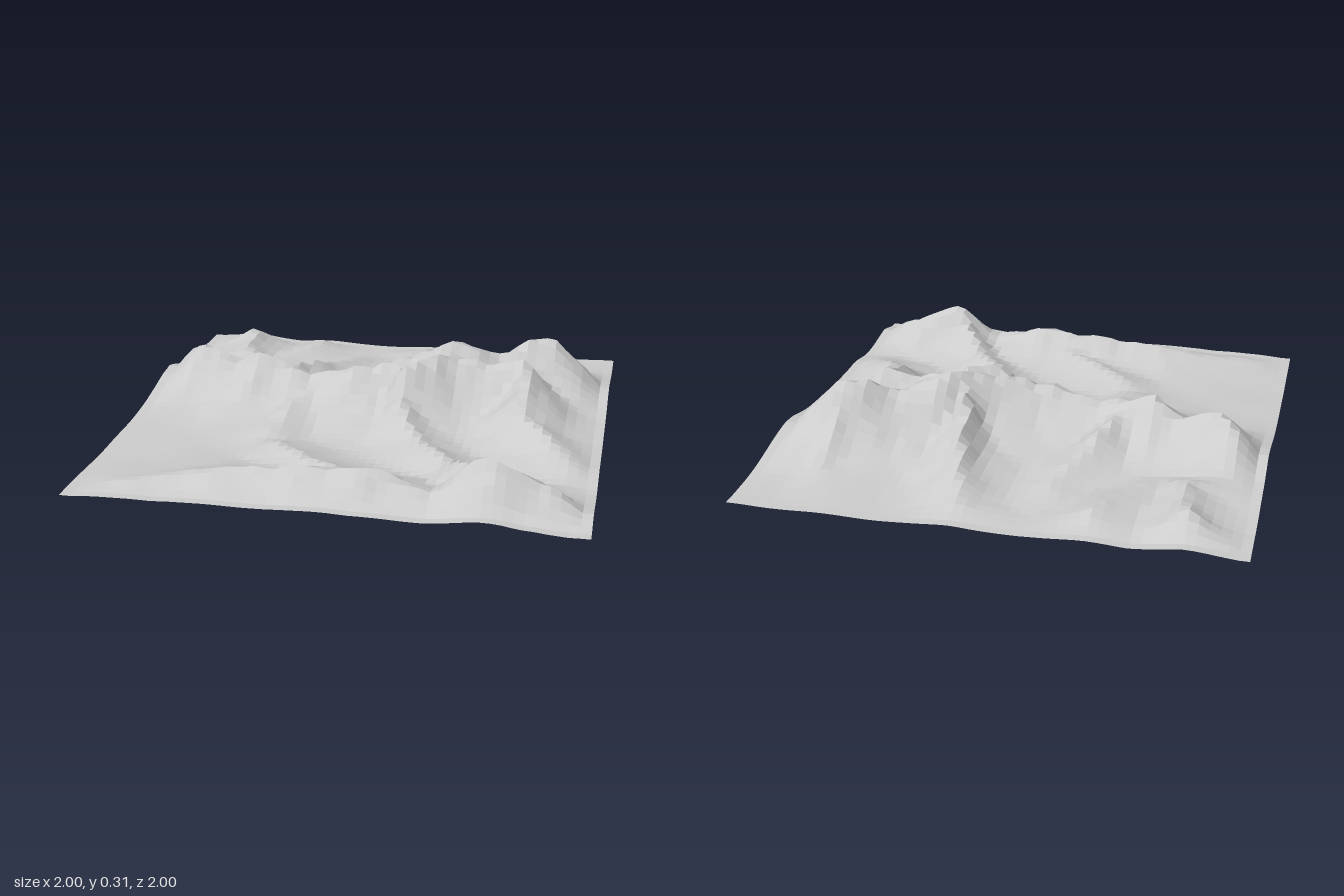
import * as THREE from 'three';

// A straight spur running off a crest and tapering down to a low foot
const spur = (x, z, h, endX, endZ) => ({ width: 0.12, crest: [[x, z, h], [endX, endZ, 0.065]] });

// Ridge lines: crest points as [x, z, height]
const RIDGES = [
  // main range crossing from left to right
  { width: 0.17, crest: [[-1, -0.26, 0.05], [-0.91, -0.25, 0.1], [-0.82, -0.23, 0.25], [-0.63, -0.18, 0.19],
    [-0.52, -0.12, 0.27], [-0.28, -0.08, 0.18], [0, -0.06, 0.25], [0.22, -0.16, 0.3], [0.35, -0.25, 0.31],
    [0.55, -0.32, 0.26], [0.75, -0.39, 0.32], [0.85, -0.38, 0.18], [0.94, -0.34, 0.08]] },
  // front crest and its arm turning forward
  { width: 0.15, crest: [[0.18, -0.02, 0.29], [0.3, -0.14, 0.31], [0.46, -0.16, 0.26], [0.63, -0.15, 0.29],
    [0.69, 0.18, 0.15], [0.88, 0.42, 0.07]] },
  // diagonal link to the front peak
  { width: 0.12, crest: [[0.16, 0.1, 0.17], [0.24, 0.3, 0.1], [0.42, 0.56, 0.09], [0.6, 0.8, 0.22]] },
  // front range
  { width: 0.14, crest: [[-0.85, 0.88, 0.03], [-0.4, 0.8, 0.1], [0.16, 0.8, 0.15], [0.4, 0.82, 0.09],
    [0.6, 0.8, 0.23], [0.74, 0.8, 0.18], [0.95, 0.84, 0.07]] },
  // rear left hill
  { width: 0.12, crest: [[-0.92, -0.47, 0.06], [-0.7, -0.56, 0.1], [-0.76, -0.83, 0.12]] },
  // spurs
  spur(0.27, -0.25, 0.28, 0.12, -0.85),
  spur(0.75, -0.39, 0.3, 0.72, -0.7),
  spur(-0.4, -0.12, 0.21, -0.2, -0.62),
  spur(-0.4, -0.84, 0.08, -0.6, -0.5),
  spur(-0.28, -0.05, 0.15, -0.36, 0.28),
  spur(0.16, 0.8, 0.1, -0.3, 0.45),
];

const hash = (i, j) => {
  const s = Math.sin(i * 127.1 + j * 311.7) * 43758.5453;
  return s - Math.floor(s);
};

// Smooth value noise in -1..1
function noise(x, z) {
  const i = Math.floor(x), j = Math.floor(z);
  const u = THREE.MathUtils.smoothstep(x - i, 0, 1), v = THREE.MathUtils.smoothstep(z - j, 0, 1);
  const a = THREE.MathUtils.lerp(hash(i, j), hash(i + 1, j), u);
  const b = THREE.MathUtils.lerp(hash(i, j + 1), hash(i + 1, j + 1), u);
  return THREE.MathUtils.lerp(a, b, v) * 2 - 1;
}

function heightAt(px, pz) {
  // the outermost row of cells runs level to the border
  const x = THREE.MathUtils.clamp(px, -0.96, 0.96), z = THREE.MathUtils.clamp(pz, -0.96, 0.96);
  // gently raised valley floor
  const base = 0.012 + 0.032 * Math.exp(-(((z + 0.28) / 0.42) ** 2));
  // warp the flanks into gullies
  const wx = x + 0.02 * noise(x * 9 + 3, z * 9);
  const wz = z + 0.02 * noise(x * 9, z * 9 + 17);
  let rise = 0;
  for (const { width, crest } of RIDGES) {
    for (let k = 0; k < crest.length - 1; k++) {
      const [ax, az, ah] = crest[k], [bx, bz, bh] = crest[k + 1];
      const dx = bx - ax, dz = bz - az;
      const t = THREE.MathUtils.clamp(((wx - ax) * dx + (wz - az) * dz) / (dx * dx + dz * dz), 0, 1);
      const ox = wx - ax - t * dx, oz = wz - az - t * dz;
      // flanks facing forward are steeper
      const d = Math.hypot(ox, oz) / (oz > 0 ? width * 0.9 : width);
      rise = Math.max(rise, (ah + (bh - ah) * t - base) * Math.exp(-(d ** 1.3)));
    }
  }
  const rough = 0.005 * noise(x * 5, z * 5) + 0.08 * rise * noise(x * 14, z * 14);
  // settle towards the square border
  const edge = THREE.MathUtils.smoothstep(1 - Math.max(Math.abs(x), Math.abs(z)), -0.1, 0.13);
  return base + (rise + rough) * edge;
}

export function createModel() {
  const group = new THREE.Group();
  group.name = 'mountainLandscape';

  // Square terrain sheet lifted by the ridge rule
  const sheet = new THREE.PlaneGeometry(2, 2, 50, 50).rotateX(-Math.PI / 2);
  const pos = sheet.attributes.position;
  for (let i = 0; i < pos.count; i++) pos.setY(i, heightAt(pos.getX(i), pos.getZ(i)));
  sheet.computeBoundingBox();
  sheet.translate(0, -sheet.boundingBox.min.y, 0);

  // One shared normal per square cell, so each cell reads as a single facet
  const geometry = sheet.toNonIndexed();
  geometry.computeVertexNormals();
  const normal = geometry.attributes.normal;
  const a = new THREE.Vector3(), b = new THREE.Vector3();
  for (let i = 0; i < normal.count; i += 6) {
    a.fromBufferAttribute(normal, i).add(b.fromBufferAttribute(normal, i + 3)).normalize();
    for (let k = 0; k < 6; k++) normal.setXYZ(i + k, a.x, a.y, a.z);
  }

  const material = new THREE.MeshStandardMaterial({ color: 0xcccccc, side: THREE.DoubleSide });
  const terrain = new THREE.Mesh(geometry, material);
  terrain.name = 'terrain';
  group.add(terrain);
  return group;
}
